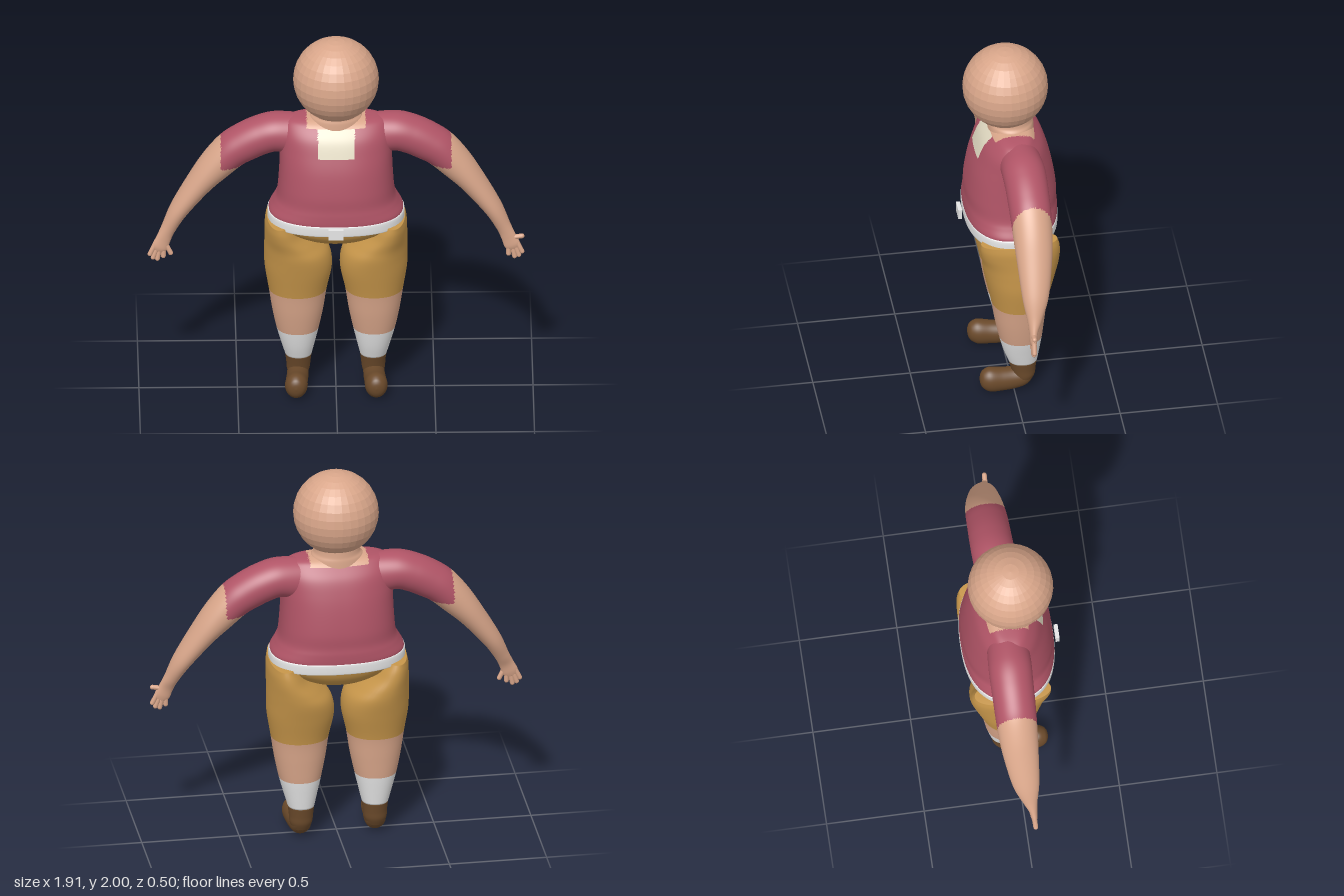
import * as THREE from 'three';

const mat = (name, color) => Object.assign(new THREE.MeshStandardMaterial({ color }), { name });

// Catmull-Rom blend of two neighbouring section rows
function blend(rows, i, t) {
  const at = k => rows[Math.max(0, Math.min(rows.length - 1, k))];
  const [p0, p1, p2, p3] = [at(i - 1), at(i), at(i + 1), at(i + 2)];
  return p1.map((v, k) => {
    const m0 = (p2[k] - p0[k]) / 2, m1 = (p3[k] - v) / 2, t2 = t * t, t3 = t2 * t;
    return (2 * t3 - 3 * t2 + 1) * v + (t3 - 2 * t2 + t) * m0 + (3 * t2 - 2 * t3) * p2[k] + (t3 - t2) * m1;
  });
}

// Skin of (super)elliptical sections [x, y, z, radiusU, radiusZ, tilt].
// side = -1 mirrors in x; pick(x, y, z) chooses the material of each face.
function loft(name, rows, materials, { side = 1, seg = 40, steps = 6, n = 2, pick = () => 0 } = {}) {
  const rings = [];
  for (let i = 0; i < rows.length - 1; i++)
    for (let s = 0; s < steps; s++) rings.push(blend(rows, i, s / steps));
  rings.push(rows[rows.length - 1]);
  const pos = [], faces = materials.map(() => []);
  const pw = v => Math.sign(v) * Math.pow(Math.abs(v), 2 / n);
  for (const [x, y, z, ru, rz, a] of rings)
    for (let j = 0; j < seg; j++) {
      const th = j / seg * Math.PI * 2, u = ru * pw(Math.cos(th));
      pos.push(side * (x + u * Math.cos(a)), y + u * Math.sin(a), z + rz * pw(Math.sin(th)));
    }
  for (const r of [rings[0], rings[rings.length - 1]]) pos.push(side * r[0], r[1], r[2]);
  const tri = (a, b, c) => {
    const mid = k => (pos[a * 3 + k] + pos[b * 3 + k] + pos[c * 3 + k]) / 3;
    faces[pick(mid(0), mid(1), mid(2))].push(...(side > 0 ? [a, b, c] : [a, c, b]));
  };
  const last = (rings.length - 1) * seg, cap = rings.length * seg;
  for (let j = 0; j < seg; j++) {
    const k = (j + 1) % seg;
    for (let i = 0; i < last; i += seg) {
      tri(i + j, i + seg + j, i + k);
      tri(i + seg + j, i + seg + k, i + k);
    }
    tri(cap, j, k);
    tri(cap + 1, last + k, last + j);
  }
  const g = new THREE.BufferGeometry();
  g.setAttribute('position', new THREE.Float32BufferAttribute(pos, 3));
  g.setIndex(faces.flat());
  let start = 0;
  faces.forEach((f, i) => { g.addGroup(start, f.length, i); start += f.length; });
  g.computeVertexNormals();
  const mesh = new THREE.Mesh(g, materials.length > 1 ? materials : materials[0]);
  mesh.name = name;
  return mesh;
}

// Upright section: height, centre x, centre z, radius x, radius z
const up = ([y, x, z, rx, rz]) => [x, y, z, rx, rz, 0];

export function createModel() {
  const skin = mat('skin', 0xd9a68a), shirt = mat('shirt red', 0xb05466), gold = mat('shorts gold', 0xc7964a);
  const white = mat('white cloth', 0xe6e6e6), brown = mat('shoe brown', 0x6b4a2b), cream = mat('bib cream', 0xe3dbc3);
  const root = new THREE.Group();
  root.name = 'figure';

  // Faceted ball head and neck
  const ball = new THREE.SphereGeometry(0.218, 32, 16).toNonIndexed();
  ball.computeVertexNormals();
  const head = new THREE.Mesh(ball, skin);
  head.name = 'head';
  head.position.set(0, 1.782, 0.012);
  root.add(head);
  root.add(loft('neck', [
    [1.5, 0, -0.015, 0.15, 0.12], [1.56, 0, -0.015, 0.135, 0.115],
    [1.59, 0, -0.015, 0.118, 0.11], [1.66, 0, -0.012, 0.115, 0.11],
  ].map(up), [skin]));

  // Shirt body with bare neckline and cream bib
  root.add(loft('shirt', [
    [1.03, 0, -0.008, 0.338, 0.233], [1.05, 0, -0.008, 0.34, 0.236], [1.09, 0, -0.009, 0.317, 0.235],
    [1.13, 0, -0.009, 0.3, 0.231], [1.2, 0, -0.01, 0.292, 0.229], [1.31, 0, -0.011, 0.286, 0.211],
    [1.4, 0, -0.014, 0.285, 0.186], [1.48, 0, -0.015, 0.283, 0.155], [1.535, 0, -0.015, 0.262, 0.112],
    [1.557, 0, -0.018, 0.22, 0.085], [1.566, 0, -0.02, 0.14, 0.06],
  ].map(up), [shirt, skin, cream], {
    seg: 192, n: 2.4,
    pick: (x, y, z) => y > 1.535 && Math.abs(x) < 0.15 ? 1
      : y > 1.4 && y < 1.535 && Math.abs(x) < 0.094 && z > 0 ? 2 : 0,
  }));

  // Belt and buckle
  root.add(loft('belt', [
    [0.985, 0, -0.008, 0.345, 0.233], [0.99, 0, -0.008, 0.348, 0.237], [1.035, 0, -0.008, 0.347, 0.238],
    [1.042, 0, -0.008, 0.338, 0.232],
  ].map(up), [white], { seg: 96, n: 2.4, steps: 3 }));
  const buckle = new THREE.Mesh(new THREE.BoxGeometry(0.075, 0.056, 0.02), white);
  buckle.name = 'buckle';
  buckle.position.set(-0.003, 1.01, 0.248);
  root.add(buckle);

  // Seat of the shorts
  root.add(loft('shortsSeat', [
    [0.866, 0, -0.02, 0.1, 0.07], [0.875, 0, -0.02, 0.14, 0.11], [0.91, 0, -0.015, 0.215, 0.17],
    [0.95, 0, -0.01, 0.285, 0.207], [1.0, 0, -0.008, 0.338, 0.228],
  ].map(up), [gold], { seg: 64, n: 2.2 }));

  for (const side of [1, -1]) {
    const sideName = side > 0 ? 'left' : 'right';

    // Leg: sock, bare knee, shorts leg
    root.add(loft(sideName + 'Leg', [
      [0.18, 0.19, -0.047, 0.068, 0.074], [0.25, 0.192, -0.04, 0.086, 0.092], [0.34, 0.194, -0.035, 0.108, 0.11],
      [0.45, 0.194, -0.03, 0.13, 0.127], [0.57, 0.194, -0.028, 0.148, 0.143], [0.7, 0.191, -0.03, 0.171, 0.172],
      [0.79, 0.199, -0.032, 0.165, 0.191], [0.85, 0.225, -0.032, 0.138, 0.197], [0.91, 0.258, -0.026, 0.104, 0.202],
      [0.96, 0.275, -0.02, 0.085, 0.202], [1.0, 0.285, -0.015, 0.066, 0.195],
    ].map(up), [white, skin, gold], {
      side, seg: 48, n: 2.15, pick: (x, y) => (y < 0.34 ? 0 : y < 0.57 ? 1 : 2),
    }));

    // Shoe: ankle and a foot skinned from heel to toe
    root.add(loft(sideName + 'ShoeAnkle', [
      [0.05, 0.192, -0.045, 0.045, 0.045], [0.09, 0.191, -0.052, 0.058, 0.057],
      [0.13, 0.19, -0.05, 0.062, 0.064], [0.18, 0.19, -0.047, 0.068, 0.074],
    ].map(up), [brown], { side }));
    const foot = loft(sideName + 'ShoeFoot', [
      [-0.108, 0.192, -0.1, 0.004, 0.004], [-0.095, 0.192, -0.093, 0.035, 0.03], [-0.06, 0.192, -0.077, 0.052, 0.055],
      [0, 0.195, -0.066, 0.055, 0.06], [0.06, 0.2, -0.067, 0.056, 0.063], [0.12, 0.203, -0.073, 0.057, 0.068],
      [0.155, 0.204, -0.076, 0.044, 0.052], [0.17, 0.204, -0.077, 0.025, 0.03], [0.175, 0.204, -0.077, 0.003, 0.004],
    ].map(up), [brown], { side });
    foot.rotation.x = Math.PI / 2;
    root.add(foot);

    // Arm: x, y, z, radius, depth radius, heading in degrees
    root.add(loft(sideName + 'Arm', [
      [0.18, 1.442, -0.03, 0.115, 0.105, 0], [0.3, 1.459, -0.033, 0.102, 0.11, -8],
      [0.385, 1.437, -0.035, 0.1, 0.109, -22], [0.465, 1.397, -0.035, 0.099, 0.107, -34],
      [0.533, 1.352, -0.035, 0.094, 0.105, -42], [0.612, 1.27, -0.034, 0.084, 0.1, -48],
      [0.692, 1.173, -0.03, 0.067, 0.09, -52], [0.795, 1.025, -0.019, 0.049, 0.068, -58],
      [0.85, 0.92, -0.006, 0.038, 0.038, -63], [0.875, 0.865, 0.004, 0.038, 0.023, -66],
      [0.894, 0.82, 0.008, 0.041, 0.018, -68], [0.903, 0.798, 0.008, 0.03, 0.012, -68],
    ].map(r => [...r.slice(0, 5), (r[5] - 90) * Math.PI / 180]), [shirt, skin], {
      side, seg: 72, steps: 10, pick: (x, y) => (Math.abs(x) < 0.585 && y > 1.288 ? 0 : 1),
    }));

    // Fingers and thumb: base x, y to tip x, y
    const thumb = side > 0 ? [0.895, 0.86, 0.944, 0.868] : [0.868, 0.845, 0.839, 0.785];
    const fingers = [[0.92, 0.83, 0.944, 0.78], [0.91, 0.81, 0.928, 0.76],
      [0.895, 0.805, 0.906, 0.753], [0.876, 0.815, 0.876, 0.768], thumb];
    fingers.forEach(([x0, y0, x1, y1], i) => {
      const a = new THREE.Vector3(side * x0, y0, 0.008), b = new THREE.Vector3(side * x1, y1, 0.01);
      const finger = new THREE.Mesh(new THREE.CapsuleGeometry(0.0125, a.distanceTo(b), 5, 12), skin);
      finger.name = sideName + (i < 4 ? 'Finger' + (i + 1) : 'Thumb');
      finger.position.copy(a).lerp(b, 0.5);
      finger.quaternion.setFromUnitVectors(new THREE.Vector3(0, 1, 0), b.sub(a).normalize());
      root.add(finger);
    });
  }
  return root;
}
